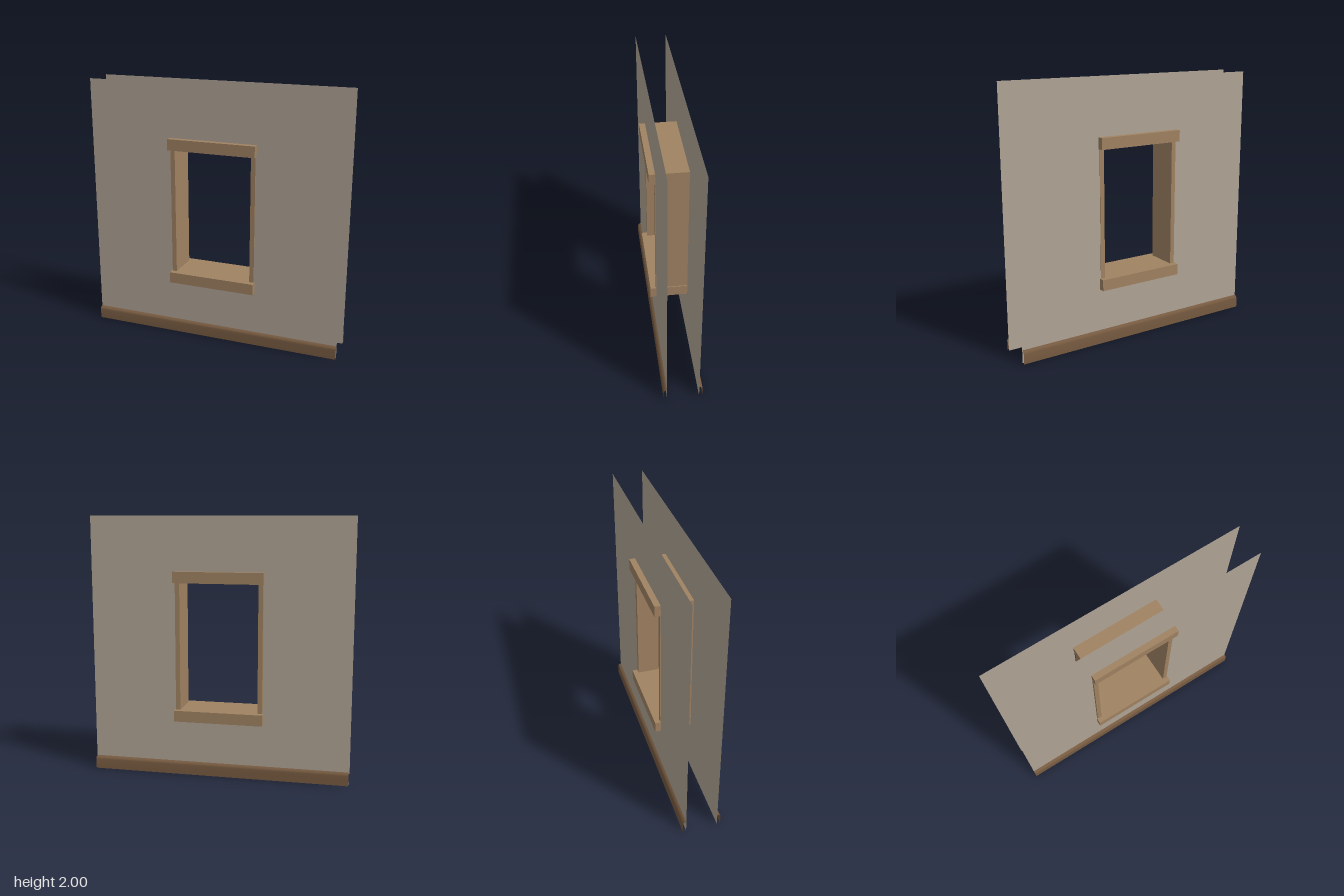
import * as THREE from 'three';

const mat = (color, side = THREE.FrontSide) => new THREE.MeshStandardMaterial({ color, side });
const plaster = mat(0xb0a496, THREE.DoubleSide);
const wood = mat(0xa08262);
const skirtingWood = mat(0x765a40, THREE.DoubleSide);

function addBox(parent, name, w, h, d, x, y) {
  const mesh = new THREE.Mesh(new THREE.BoxGeometry(w, h, d), wood);
  mesh.name = name;
  mesh.position.set(x, y, 0);
  parent.add(mesh);
}

// Thin wall sheet with a rectangular window opening
function wallGeometry() {
  const shape = new THREE.Shape();
  shape.moveTo(-1, 0).lineTo(1, 0).lineTo(1, 2).lineTo(-1, 2).closePath();
  const hole = new THREE.Path();
  hole.moveTo(-0.343, 0.49).lineTo(-0.343, 1.52).lineTo(0.337, 1.52).lineTo(0.337, 0.49).closePath();
  shape.holes.push(hole);
  return new THREE.ShapeGeometry(shape);
}

// Open-ended strip swept along x from a [y, z] profile
function skirtingGeometry() {
  const profile = [[0, 0.147], [0.075, 0.147], [0.092, 0.14], [0.1, 0.122]];
  const positions = [], index = [];
  profile.forEach(([y, z], i) => {
    positions.push(-1, y, z, 1, y, z);
    if (i) {
      const a = 2 * i - 2;
      index.push(a, a + 1, a + 3, a, a + 3, a + 2);
    }
  });
  const g = new THREE.BufferGeometry();
  g.setAttribute('position', new THREE.Float32BufferAttribute(positions, 3));
  g.setIndex(index);
  g.computeVertexNormals();
  return g;
}

export function createModel() {
  const model = new THREE.Group();
  model.name = 'windowWall';

  // Front and back wall faces, each with its skirting board
  const wallGeo = wallGeometry(), skirtGeo = skirtingGeometry();
  for (const side of [1, -1]) {
    const label = side > 0 ? 'front' : 'back';
    const wall = new THREE.Mesh(wallGeo, plaster);
    wall.name = label + 'Wall';
    wall.position.z = side * 0.121;
    // Keep the opening aligned in x on both faces
    if (side < 0) wall.scale.z = -1;
    const skirting = new THREE.Mesh(skirtGeo, skirtingWood);
    skirting.name = label + 'Skirting';
    if (side < 0) skirting.rotation.y = Math.PI;
    model.add(wall, skirting);
  }

  // Window frame through both walls
  const frame = new THREE.Group();
  frame.name = 'windowFrame';
  addBox(frame, 'lintel', 0.689, 0.086, 0.334, 0, 1.545);
  addBox(frame, 'sill', 0.689, 0.086, 0.334, 0, 0.473);
  addBox(frame, 'rightJamb', 0.035, 0.986, 0.25, -0.32, 1.009);
  addBox(frame, 'leftJamb', 0.035, 0.986, 0.25, 0.32, 1.009);
  model.add(frame);

  return model;
}
